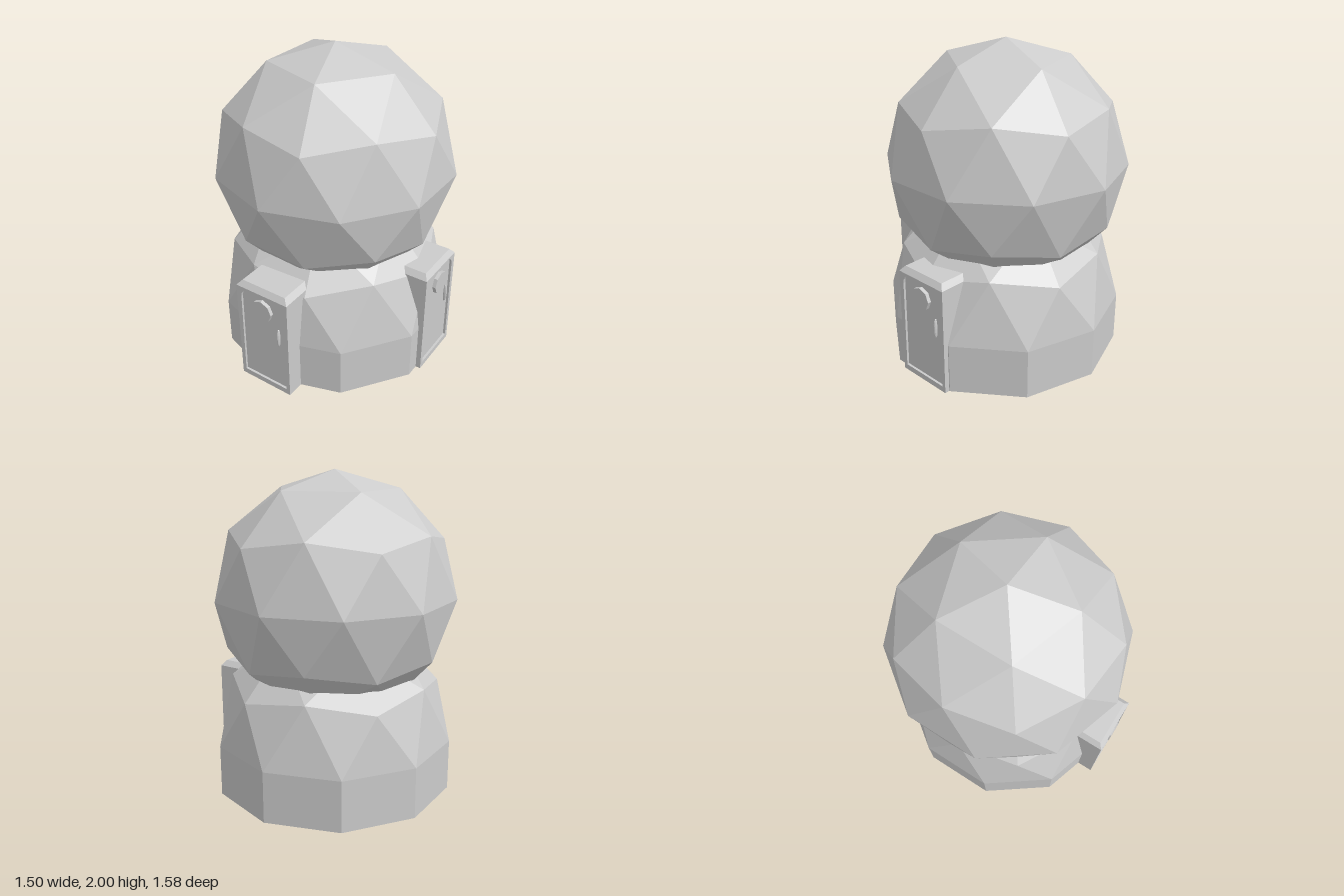
import * as THREE from 'three';
import { ConvexGeometry } from 'three/addons/geometries/ConvexGeometry.js';

const material = new THREE.MeshStandardMaterial({ color: 0xcccccc, flatShading: true });

function add(parent, name, geometry, x = 0, y = 0, z = 0) {
  const mesh = new THREE.Mesh(geometry, material);
  mesh.name = name;
  mesh.position.set(x, y, z);
  parent.add(mesh);
  return mesh;
}

// 80-sided ball turned so that one five-way corner points straight up
function facetedBall(radius) {
  const tilt = Math.atan(2 / (1 + Math.sqrt(5)));
  return new THREE.IcosahedronGeometry(radius, 1).rotateZ(-tilt);
}

// Upper half of a faceted ball on straight ten-sided walls
function domeOnWalls(radius, wallHeight) {
  const points = new Map();
  const position = facetedBall(radius).attributes.position;
  for (let i = 0; i < position.count; i++) {
    const p = new THREE.Vector3().fromBufferAttribute(position, i);
    if (p.y < -0.01) continue;
    const key = p.toArray().map((v) => Math.round(v * 1000)).join();
    if (points.has(key)) continue;
    points.set(key, p);
    if (p.y < 0.01) {
      p.y = 0;
      points.set(key + 'base', new THREE.Vector3(p.x, -wallHeight, p.z));
    }
  }
  return new ConvexGeometry([...points.values()]);
}

// Door opening with rounded upper corners
function openingPath(PathClass) {
  const w = 0.162, bottom = 0.037, top = 0.685, r = 0.06;
  const path = new PathClass();
  path.moveTo(-w, bottom);
  path.lineTo(w, bottom);
  path.lineTo(w - 0.008, top - r);
  path.quadraticCurveTo(w - 0.012, top, w - r, top);
  path.lineTo(-w + r, top);
  path.quadraticCurveTo(-w + 0.012, top, -w + 0.008, top - r);
  path.closePath();
  return path;
}

// Doorway whose front lies at local z = 0
function doorway(name) {
  const group = new THREE.Group();
  group.name = name;
  const half = 0.1875, wallTop = 0.697, depth = 0.28, recess = 0.015;

  // Porch block behind the door
  add(group, 'porch', new THREE.BoxGeometry(half * 2, wallTop, depth - recess),
    0, wallTop / 2, -(depth + recess) / 2);

  // Frame around the recessed door
  const outline = new THREE.Shape([
    new THREE.Vector2(-half, 0), new THREE.Vector2(half, 0),
    new THREE.Vector2(half, wallTop), new THREE.Vector2(-half, wallTop),
  ]);
  outline.holes.push(openingPath(THREE.Path));
  add(group, 'doorFrame', new THREE.ExtrudeGeometry(outline,
    { depth: recess, bevelEnabled: false, curveSegments: 4 }), 0, 0, -recess);

  // Roof slab with sloping edges at the front and sides
  const roof = new THREE.BoxGeometry(half * 2, 0.034, depth);
  const p = roof.attributes.position;
  for (let i = 0; i < p.count; i++) {
    if (p.getY(i) < 0) continue;
    p.setX(i, Math.sign(p.getX(i)) * 0.157);
    if (p.getZ(i) > 0) p.setZ(i, depth / 2 - 0.026);
  }
  roof.computeVertexNormals();
  add(group, 'porchRoof', roof, 0, wallTop + 0.017, -depth / 2);

  // Eight-sided porthole and oval handle
  add(group, 'porthole', new THREE.CylinderGeometry(0.073, 0.073, 0.024, 8).rotateX(Math.PI / 2),
    0, 0.58, -0.004);
  const handle = new THREE.SphereGeometry(1, 10, 8).scale(0.01, 0.065, 0.016);
  add(group, 'handle', handle, 0.112, 0.42, -0.01);
  return group;
}

export function createModel() {
  const model = new THREE.Group();
  model.name = 'domedTower';

  add(model, 'base', domeOnWalls(0.757, 0.32), -0.015, 0.32, -0.022);
  add(model, 'upperBall', facetedBall(0.76), -0.03, 1.24, -0.03);

  // One doorway at the front, one on the left side
  const front = doorway('frontDoorway');
  front.position.set(-0.004, 0, 0.782);
  const side = doorway('sideDoorway');
  side.position.set(0.737, 0, -0.063);
  side.rotation.y = Math.PI / 2;
  model.add(front, side);
  return model;
}
